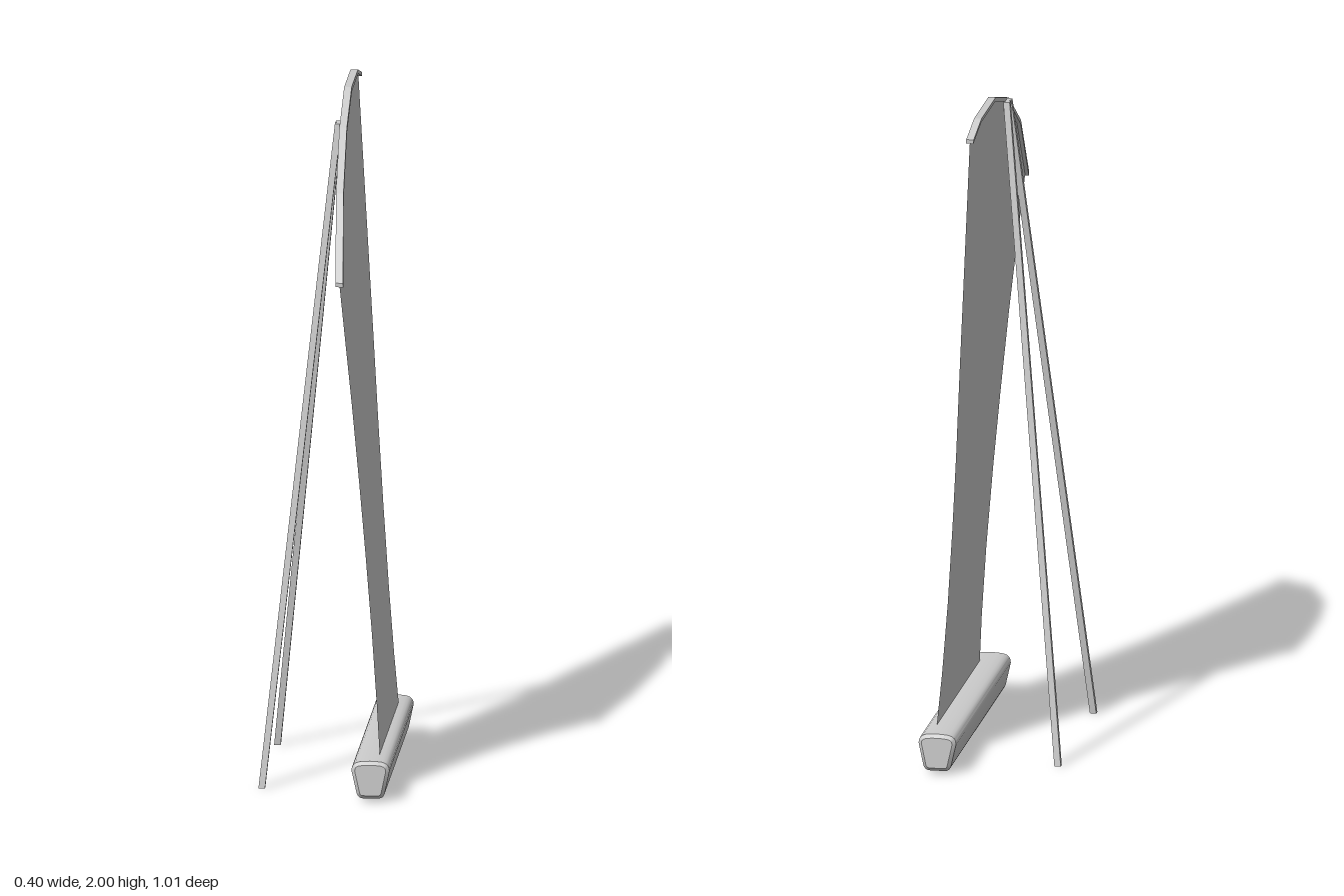
import * as THREE from 'three';
import { toCreasedNormals } from 'three/addons/utils/BufferGeometryUtils.js';

const grey = new THREE.MeshStandardMaterial({ color: 0xcccccc, side: THREE.DoubleSide });

// Outline points as [z, y]
const topArc = [[0.51, 1.57], [0.3, 1.79], [0.06, 1.93], [-0.17, 1.998], [-0.39, 1.998], [-0.5, 1.965]];
const backEdge = [[-0.375, 1.2], [-0.33, 0.95], [-0.3, 0.72], [-0.283, 0.48], [-0.291, 0.27], [-0.318, 0.11]];
const frontEdge = [[0.352, 0.11], [0.325, 0.27], [0.315, 0.48], [0.33, 0.72], [0.36, 0.94], [0.405, 1.18]];

const leanX = (y) => 0.16 - (y - 0.12) * 0.0725;
const outline = (pts) => new THREE.Shape(pts.map(([z, y]) => new THREE.Vector2(-z, y)));

// Turn a flat outline to face +x and lean it back
function lean(geo) {
  geo.rotateY(Math.PI / 2);
  const p = geo.attributes.position;
  for (let i = 0; i < p.count; i++) p.setX(i, p.getX(i) + leanX(p.getY(i)));
  geo.computeVertexNormals();
  return geo;
}

// Square bar sheared between two points, so both ends stay horizontal
function shearedBar(foot, head, w, d) {
  const geo = new THREE.BoxGeometry(w, 1, d);
  const p = geo.attributes.position;
  for (let i = 0; i < p.count; i++) {
    const t = p.getY(i) + 0.5;
    p.setXYZ(i,
      p.getX(i) + foot[0] + (head[0] - foot[0]) * t,
      foot[1] + (head[1] - foot[1]) * t,
      p.getZ(i) + foot[2] + (head[2] - foot[2]) * t);
  }
  geo.computeVertexNormals();
  return geo;
}

// Rounded, tapered section of the base, drawn in x and y
function baseSection() {
  const s = new THREE.Shape();
  s.moveTo(0.118, 0.01);
  s.lineTo(0.164, 0.01);
  s.quadraticCurveTo(0.178, 0.011, 0.182, 0.025);
  s.lineTo(0.196, 0.092);
  s.quadraticCurveTo(0.197, 0.114, 0.175, 0.119);
  s.quadraticCurveTo(0.14, 0.124, 0.106, 0.119);
  s.quadraticCurveTo(0.084, 0.114, 0.085, 0.092);
  s.lineTo(0.1, 0.025);
  s.quadraticCurveTo(0.104, 0.011, 0.118, 0.01);
  return s;
}

export function createModel() {
  const model = new THREE.Group();
  model.name = 'bannerStand';
  const add = (name, geo) => {
    const mesh = new THREE.Mesh(geo, grey);
    mesh.name = name;
    model.add(mesh);
    return mesh;
  };

  // Fabric panel
  add('bannerPanel', lean(new THREE.ShapeGeometry(outline([...topArc, ...backEdge, ...frontEdge]))));

  // Rail following the curved top edge
  const underside = topArc.map(([z, y]) => [z, y - 0.012]).reverse();
  const rail = new THREE.ExtrudeGeometry(outline([...topArc, ...underside]), { depth: 0.022, bevelEnabled: false });
  rail.translate(0, 0, -0.011);
  add('topRail', lean(rail));

  // Base housing with chamfered ends
  const base = new THREE.ExtrudeGeometry(baseSection(), {
    depth: 0.85, curveSegments: 4, bevelSize: 0.01, bevelOffset: -0.01, bevelThickness: 0.01, bevelSegments: 1,
  });
  base.translate(0, 0, -0.41);
  add('baseHousing', toCreasedNormals(base, 0.5));

  // Small pads under the base
  for (const z of [0.295, -0.26]) {
    add('basePad', new THREE.CylinderGeometry(0.01, 0.01, 0.012, 12)).position.set(0.141, 0.01, z);
  }

  // Two splayed support legs and the joint between them
  add('backLeg', shearedBar([-0.19, 0, -0.262], [0.012, 1.935, 0], 0.019, 0.017));
  add('frontLeg', shearedBar([-0.19, 0, 0.289], [0.012, 1.935, 0.027], 0.019, 0.017));
  add('legJoint', new THREE.BoxGeometry(0.016, 0.03, 0.03)).position.set(0.014, 1.92, 0.0135);

  return model;
}
